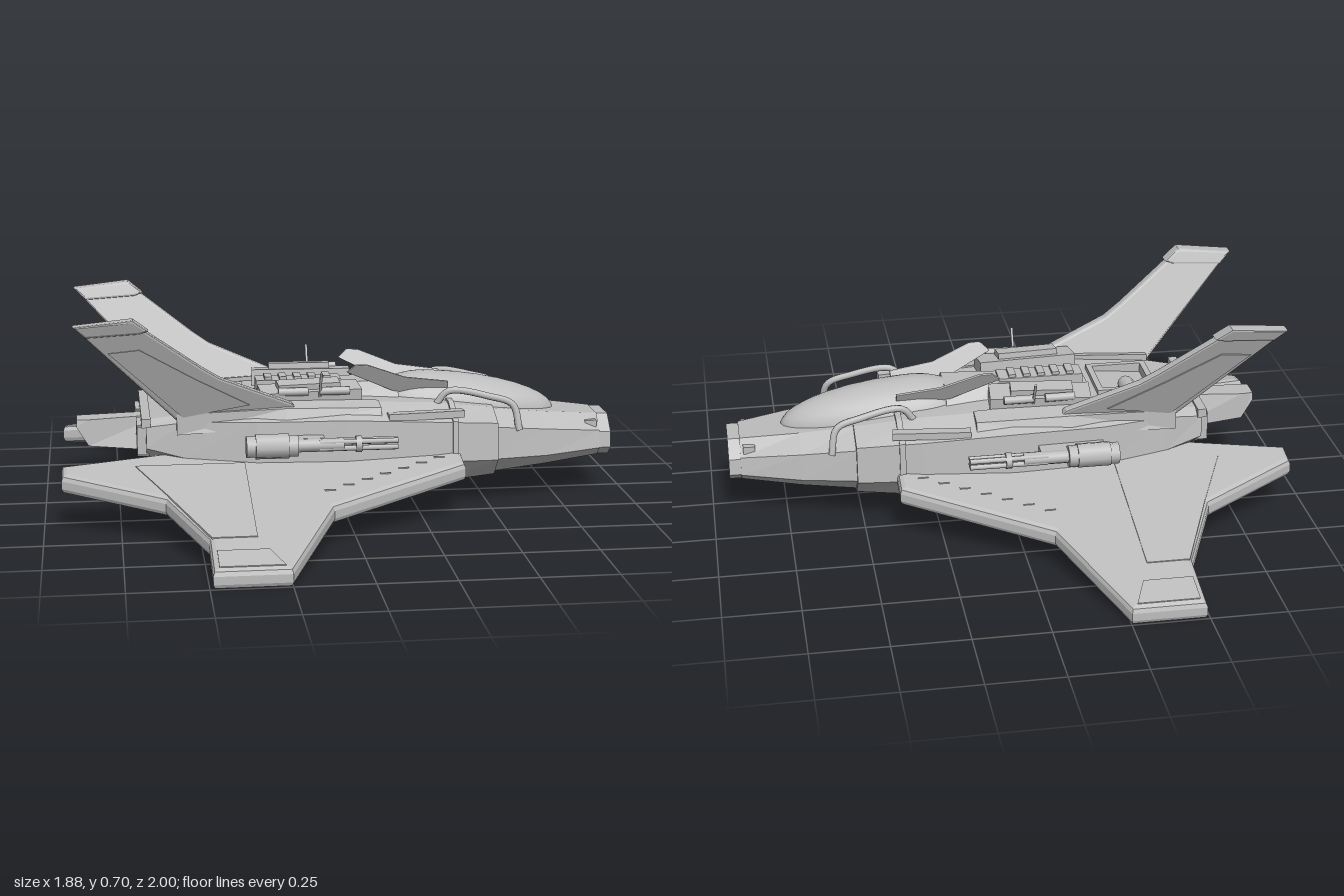
import * as THREE from 'three';

const hullGrey = new THREE.MeshStandardMaterial({ color: 0xbdbdbd });
hullGrey.name = 'hullGrey';

// Loft of closed [z, y] rings at ascending x, flat shaded, capped at both ends.
function loft(rings) {
  const pos = [];
  const tri = (...p) => p.forEach(v => pos.push(...v));
  const r = rings.map(([x, pts]) => pts.map(([z, y]) => [x, y, z]));
  const n = r[0].length;
  for (let s = 0; s < r.length - 1; s++)
    for (let i = 0; i < n; i++) {
      const j = (i + 1) % n, a = r[s], b = r[s + 1];
      tri(a[i], a[j], b[i]);
      tri(a[j], b[j], b[i]);
    }
  const first = r[0], last = r[r.length - 1];
  for (let i = 1; i < n - 1; i++) {
    tri(first[0], first[i + 1], first[i]);
    tri(last[0], last[i], last[i + 1]);
  }
  const g = new THREE.BufferGeometry();
  g.setAttribute('position', new THREE.Float32BufferAttribute(pos, 3));
  g.computeVertexNormals();
  return g;
}

// Symmetric ring from its +z half, listed top to bottom.
const ring = half => [...half, ...half.slice().reverse().map(([z, y]) => [-z, y])];

// Bevelled plate from an outline, centred on its own thickness.
function plate(points, thick, bevel) {
  const shape = new THREE.Shape(points.map(p => new THREE.Vector2(...p)));
  const g = new THREE.ExtrudeGeometry(shape, {
    depth: thick - 2 * bevel, bevelEnabled: bevel > 0, bevelSize: bevel,
    bevelThickness: bevel, bevelOffset: -bevel, bevelSegments: 2,
  });
  return g.translate(0, 0, -(thick - 2 * bevel) / 2);
}

// Moves every vertex by a rule.
function warp(g, rule) {
  const p = g.attributes.position, v = new THREE.Vector3();
  for (let i = 0; i < p.count; i++) {
    rule(v.fromBufferAttribute(p, i));
    p.setXYZ(i, v.x, v.y, v.z);
  }
  g.computeVertexNormals();
  return g;
}

function mirrored(geo) {
  const g = geo.index ? geo.toNonIndexed() : geo.clone();
  g.scale(1, 1, -1);
  for (const name of ['position', 'normal']) {
    const a = g.attributes[name], v = new THREE.Vector3(), w = new THREE.Vector3();
    for (let i = 0; i < a.count; i += 3) {
      v.fromBufferAttribute(a, i + 1);
      w.fromBufferAttribute(a, i + 2);
      a.setXYZ(i + 1, w.x, w.y, w.z);
      a.setXYZ(i + 2, v.x, v.y, v.z);
    }
  }
  return g;
}

const box = (x0, x1, y0, y1, z0, z1) => new THREE.BoxGeometry(x1 - x0, y1 - y0, z1 - z0)
  .translate((x0 + x1) / 2, (y0 + y1) / 2, (z0 + z1) / 2);
const rod = (x0, x1, y, z, r, sides = 10) => new THREE.CylinderGeometry(r, r, x1 - x0, sides)
  .rotateZ(-Math.PI / 2).translate((x0 + x1) / 2, y, z);

export function createModel() {
  const model = new THREE.Group();
  model.name = 'starfighter';
  const add = (name, geo) => {
    const m = new THREE.Mesh(geo, hullGrey);
    m.name = name;
    model.add(m);
  };
  const pair = (name, geo) => { add(name + 'Near', geo); add(name + 'Far', mirrored(geo)); };

  // Fuselage: x, top half width, top y, side half width, shoulder y, sill y, keel half width, keel y
  const hull = rows => loft(rows.map(([x, wt, yt, wm, ys, yl, wb, yb]) =>
    [x, ring([[wt, yt], [wm, ys], [wm + 0.01, yl], [wb, yb]])]));
  add('mainHull', hull([
    [-0.66, 0.18, 0.34, 0.21, 0.32, 0.25, 0.16, 0.21],
    [-0.53, 0.2, 0.36, 0.24, 0.34, 0.22, 0.19, 0.16],
    [-0.3, 0.2, 0.38, 0.29, 0.345, 0.2, 0.22, 0.1],
    [0, 0.19, 0.385, 0.3, 0.345, 0.2, 0.23, 0.09],
    [0.3, 0.17, 0.37, 0.275, 0.325, 0.19, 0.21, 0.1],
    [0.52, 0.14, 0.34, 0.235, 0.305, 0.18, 0.18, 0.115],
  ]));
  add('noseHull', hull([
    [0.5, 0.13, 0.335, 0.225, 0.29, 0.18, 0.17, 0.12],
    [0.7, 0.1, 0.31, 0.175, 0.265, 0.175, 0.14, 0.135],
    [0.9, 0.065, 0.29, 0.115, 0.24, 0.18, 0.09, 0.15],
  ]));
  add('bellyPanel', hull([
    [0.02, 0.15, 0.15, 0.16, 0.14, 0.12, 0.15, 0.08],
    [0.3, 0.15, 0.15, 0.16, 0.14, 0.12, 0.15, 0.09],
    [0.65, 0.1, 0.15, 0.11, 0.14, 0.13, 0.1, 0.12],
  ]));

  // Nose frame with slatted intake
  const outline = [[0.06, 0.287], [0.115, 0.235], [0.12, 0.18], [0.085, 0.15]];
  const frame = new THREE.Shape(ring(outline).map(p => new THREE.Vector2(...p)));
  frame.holes.push(new THREE.Path(ring([[0.055, 0.255], [0.098, 0.225], [0.1, 0.185], [0.075, 0.165]])
    .map(p => new THREE.Vector2(...p))));
  add('noseFrame', new THREE.ExtrudeGeometry(frame, { depth: 0.045, bevelEnabled: false })
    .rotateY(Math.PI / 2).translate(0.895, 0, 0));
  for (let i = -4; i <= 4; i++)
    add('intakeSlat', box(0.895, 0.92, 0.165, Math.abs(i) > 3 ? 0.23 : 0.25, i * 0.019 - 0.005, i * 0.019 + 0.005));
  pair('noseVent', box(0.85, 0.89, 0.25, 0.275, 0.085, 0.11));

  // Canopy: egg dome, long toward the nose
  const dome = new THREE.SphereGeometry(1, 32, 20);
  add('canopy', warp(dome, v => {
    v.set(0.3 + v.x * (v.x > 0 ? 0.46 : 0.21), 0.315 + v.y * 0.128 - Math.max(v.x, 0) * 0.02, v.z * 0.13);
  }));
  add('canopyFairing', loft([
    [-0.3, ring([[0.04, 0.385], [0.09, 0.36]])],
    [-0.02, ring([[0.05, 0.42], [0.12, 0.36]])],
    [0.2, ring([[0.06, 0.425], [0.13, 0.35]])],
  ]));

  // Wings, drooping outward
  const drop = z => 0.18 - 0.2 * (z - 0.3);
  const lay = (g, lift = 0) => warp(g.rotateX(-Math.PI / 2), v => { v.y += drop(v.z) + lift; });
  const wing = [[0.39, -0.2], [0.39, -0.35], [-0.08, -0.615], [-0.25, -1], [-0.49, -1], [-0.49, -0.8],
    [-0.61, -0.53], [-0.94, -0.35], [-0.94, -0.27], [-0.6, -0.2]].reverse();
  pair('wing', lay(plate(wing, 0.062, 0.018)));
  pair('wingFlap', lay(plate([[-0.48, -0.8], [-0.34, -0.8], [-0.34, -0.3], [-0.7, -0.3], [-0.6, -0.52]].reverse(), 0.008, 0), 0.03));
  pair('wingTipPanel', lay(plate([[-0.47, -0.88], [-0.47, -0.98], [-0.27, -0.98], [-0.31, -0.88]], 0.008, 0), 0.03));
  for (let i = 0; i < 7; i++) {
    const x = -0.1 + i * 0.065, z = 0.51 - i * 0.035;
    pair('wingRivet', box(x, x + 0.035, drop(z) + 0.028, drop(z) + 0.034, z - 0.003, z + 0.003));
  }

  // Swept tail fins, canted outward
  const cant = (g, off) => warp(g, v => { v.z += 0.235 + (v.y - 0.38) * 0.4 + off; });
  pair('tailFin', cant(plate([[-0.89, 0.695], [-0.53, 0.315], [-0.15, 0.36], [-0.18, 0.4], [-0.42, 0.5],
    [-0.48, 0.54], [-0.66, 0.675], [-0.7, 0.71]], 0.038, 0.008), 0));
  pair('tailFinPanel', cant(plate([[-0.78, 0.6], [-0.54, 0.36], [-0.32, 0.4], [-0.5, 0.5], [-0.68, 0.61]], 0.008, 0), 0.021));
  pair('tailFinCap', cant(plate([[-0.89, 0.695], [-0.85, 0.655], [-0.68, 0.665], [-0.65, 0.675], [-0.7, 0.715]], 0.052, 0.008), 0));
  pair('finRoot', loft([
    [-0.56, [[0.19, 0.38], [0.25, 0.37], [0.25, 0.3], [0.19, 0.3]]],
    [-0.2, [[0.19, 0.4], [0.27, 0.385], [0.29, 0.33], [0.19, 0.33]]],
    [0.12, [[0.18, 0.385], [0.25, 0.375], [0.27, 0.33], [0.18, 0.33]]],
  ]));

  // Small blades behind the canopy
  pair('canopyBlade', warp(plate([[0.02, 0.47], [0.2, 0.385], [0.37, 0.4], [0.37, 0.425], [0.22, 0.445], [0.09, 0.495], [0.05, 0.497]], 0.016, 0.003),
    v => { v.z += 0.085 + (v.y - 0.4) * 0.5; }));

  // Dorsal machinery
  add('dorsalVent', box(-0.28, 0.01, 0.37, 0.43, -0.04, 0.04));
  for (let i = 0; i < 5; i++)
    add('dorsalRib', box(-0.25 + i * 0.05, -0.225 + i * 0.05, 0.425, 0.44, -0.032, 0.032));
  const tilt = g => g.rotateY(0.09).rotateX(0.12);
  pair('engineVent', tilt(box(-0.15, 0.19, -0.04, 0.025, -0.05, 0.05)).translate(-0.13, 0.405, 0.15));
  pair('engineVentLid', tilt(box(-0.09, 0.12, 0.025, 0.045, -0.03, 0.03)).translate(-0.13, 0.405, 0.15));
  for (const x of [-0.16, -0.02]) pair('ventPipe', rod(x - 0.06, x + 0.04, 0.425, 0.2, 0.014));
  pair('antenna', new THREE.CylinderGeometry(0.005, 0.005, 0.1, 6).rotateX(0.5).translate(-0.08, 0.45, 0.22));

  // Rear deck hatch with raised rim
  for (const [x0, x1, z] of [[-0.53, -0.51, 0.11], [-0.34, -0.32, 0.11]])
    add('hatchRim', box(x0, x1, 0.34, 0.395, -z, z));
  pair('hatchRimSide', box(-0.53, -0.32, 0.34, 0.395, 0.09, 0.11));
  add('hatchPod', new THREE.CapsuleGeometry(0.028, 0.06, 4, 12).rotateX(Math.PI / 2).translate(-0.43, 0.385, -0.08));

  // Engine bay: lip, framed exhausts and tail boom
  add('rearLip', box(-0.675, -0.645, 0.32, 0.35, -0.22, 0.22));
  for (const y of [0.225, 0.31]) pair('exhaustFrame', box(-0.69, -0.65, y - 0.01, y + 0.01, 0.06, 0.18));
  for (const z of [0.065, 0.175]) pair('exhaustPost', box(-0.69, -0.65, 0.22, 0.315, z - 0.01, z + 0.01));
  add('tailBoom', loft([
    [-0.89, ring([[0.035, 0.31], [0.04, 0.285]])],
    [-0.85, ring([[0.04, 0.31], [0.045, 0.22]])],
    [-0.6, ring([[0.03, 0.32], [0.06, 0.2]])],
  ]));

  // Side cannons
  const gy = 0.28, gz = 0.355;
  pair('cannonBody', rod(-0.34, -0.17, gy, gz, 0.036, 12));
  pair('cannonCollar', rod(-0.31, -0.2, gy, gz, 0.042, 8));
  pair('cannonMount', box(-0.3, -0.08, 0.26, 0.3, 0.27, 0.35));
  pair('cannonBreech', rod(-0.17, -0.02, gy, gz, 0.022));
  for (let i = 0; i < 4; i++) {
    const a = (i + 0.5) * Math.PI / 2;
    pair('cannonBarrel', rod(-0.1, 0.16, gy + 0.015 * Math.sin(a), gz + 0.015 * Math.cos(a), 0.009, 8));
  }
  pair('cannonClamp', rod(0.02, 0.04, gy, gz, 0.027));

  // Handrails beside the canopy, side rails and hull band
  const rail = new THREE.CatmullRomCurve3([[0.32, 0.36, 0.16], [0.36, 0.405, 0.165], [0.5, 0.385, 0.175],
    [0.58, 0.355, 0.18], [0.6, 0.27, 0.2]].map(p => new THREE.Vector3(...p)));
  pair('handrail', new THREE.TubeGeometry(rail, 24, 0.012, 8));
  pair('sideRail', box(-0.13, 0.13, -0.012, 0.012, -0.018, 0.018).rotateY(0.11).translate(0.27, 0.345, 0.25));
  add('hullBand', hull([
    [0.36, 0.168, 0.37, 0.27, 0.325, 0.185, 0.208, 0.1],
    [0.38, 0.165, 0.368, 0.267, 0.322, 0.185, 0.206, 0.1],
  ]));
  return model;
}
